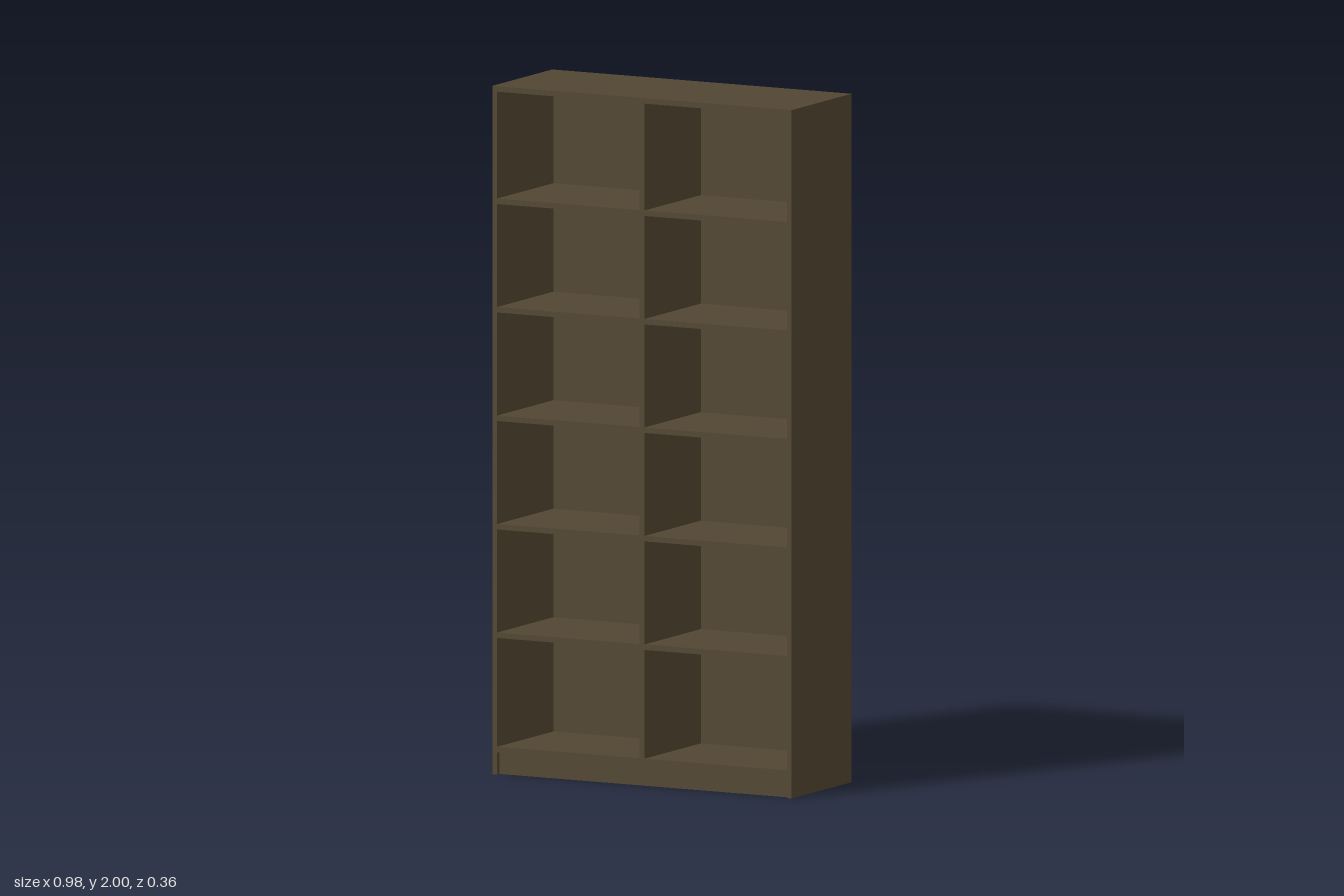
import * as THREE from 'three';

export function createModel() {
  const group = new THREE.Group();
  group.name = 'bookcase';
  const wood = new THREE.MeshStandardMaterial({ color: 0x524632 });
  wood.name = 'dark wood';

  const W = 0.98, H = 2, D = 0.36, T = 0.016;
  const inner = W - 2 * T;
  const plinth = 0.065;

  // Board given by its size and the position of its centre
  const board = (name, w, h, d, x, y, z) => {
    const mesh = new THREE.Mesh(new THREE.BoxGeometry(w, h, d), wood);
    mesh.name = name;
    mesh.position.set(x, y, z);
    group.add(mesh);
  };

  // Outer case
  for (const s of [-1, 1]) {
    board(s > 0 ? 'leftSide' : 'rightSide', T, H, D, s * (W - T) / 2, H / 2, 0);
  }
  board('topPanel', inner, T, D, 0, H - T / 2, 0);
  board('bottomShelf', inner, T, D, 0, plinth + T / 2, 0);

  // Kick board, set back a little from the front
  board('kickBoard', inner, plinth, T, 0, plinth / 2, D / 2 - 0.015 - T / 2);

  // Back panel, set in a little from the rear
  const low = plinth + T, high = H - T;
  const backT = 0.01, backZ = -D / 2 + 0.012;
  board('backPanel', inner, high - low, backT, 0, (low + high) / 2, backZ + backT / 2);

  // Centre divider and shelves in both bays
  const depth = D / 2 - (backZ + backT);
  const midZ = D / 2 - depth / 2;
  board('divider', T, high - low, depth, 0, (low + high) / 2, midZ);
  const bay = (inner - T) / 2;
  for (let i = 0; i < 5; i++) {
    for (const s of [-1, 1]) {
      board('shelf', bay, T, depth, s * (T + bay) / 2, 0.405 + i * 0.3152, midZ);
    }
  }
  return group;
}
